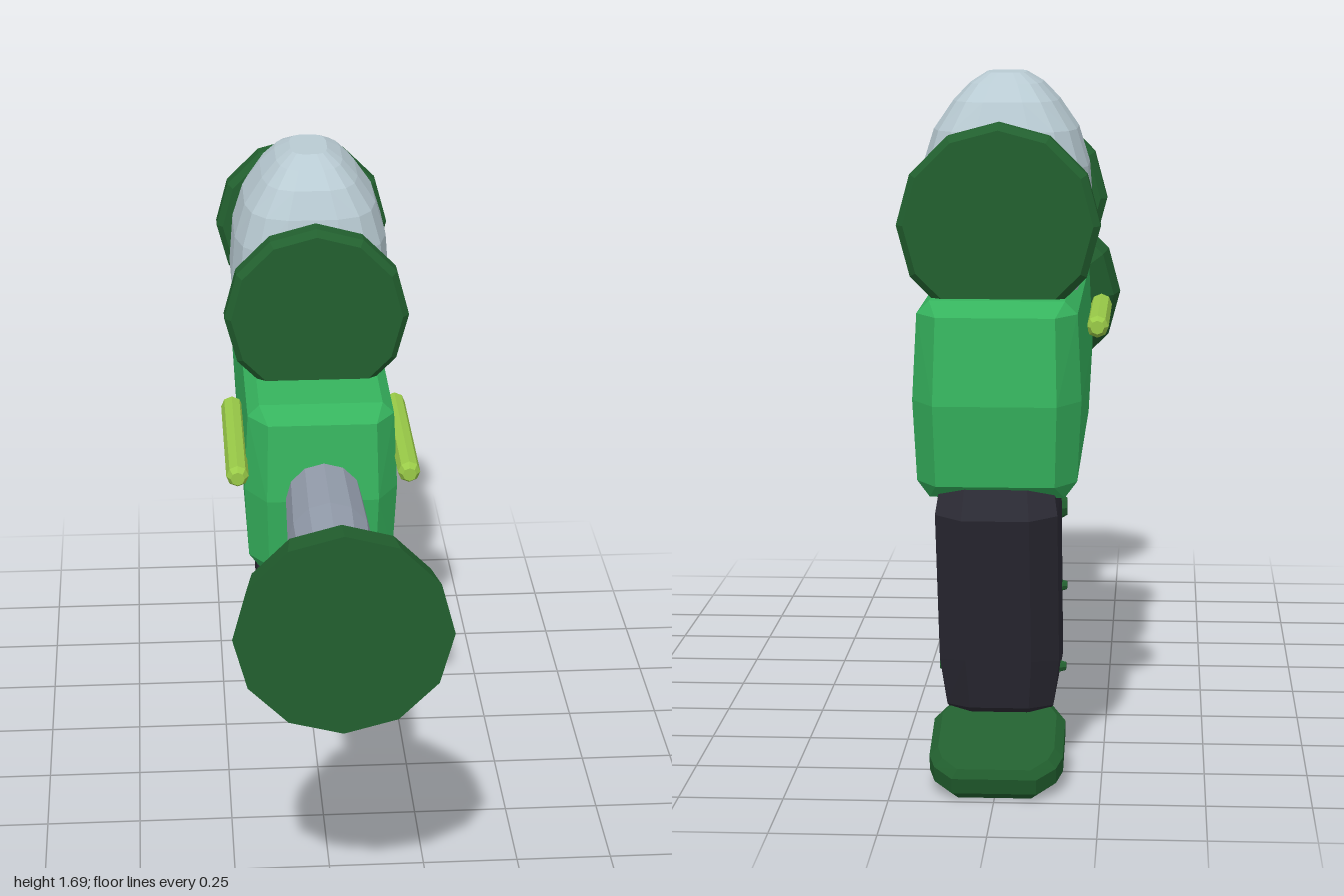
import * as THREE from 'three';
import { ConvexGeometry } from 'three/addons/geometries/ConvexGeometry.js';

const mat = (name, color) => {
  const m = new THREE.MeshStandardMaterial({ color, flatShading: true });
  m.name = name;
  return m;
};

export function createModel() {
  const green = mat('green', 0x36b45e);
  const darkGreen = mat('dark green', 0x22602f);
  const lime = mat('lime', 0x9acb48);
  const glass = mat('pale glass', 0xb9cbd3);
  const steel = mat('steel', 0x939cab);
  const black = mat('charcoal', 0x2c2b35);

  const model = new THREE.Group();
  model.name = 'toyBlaster';
  const add = (name, geometry, material, x = 0, y = 0, z = 0) => {
    const mesh = new THREE.Mesh(geometry, material);
    mesh.name = name;
    mesh.position.set(x, y, z);
    model.add(mesh);
    return mesh;
  };
  const V = (x, y, z) => new THREE.Vector3(x, y, z);
  const hull = (points) => new ConvexGeometry(points);
  // Mirrors [x, y, z] points across x = 0
  const mirrored = (pts) => hull(pts.flatMap(([x, y, z]) => [V(x, y, z), V(-x, y, z)]));
  // Turned shape along z from [radius, z] pairs
  const turned = (profile, sides) =>
    new THREE.LatheGeometry(profile.map(([r, z]) => new THREE.Vector2(r, z)), sides).rotateX(Math.PI / 2);

  // Body: bevelled block with bulging ends
  add('body', mirrored([
    [0.14, 0.75, 0.2], [0.145, 0.945, 0.222], [0.14, 1.15, 0.2],
    [0.16, 0.71, 0.13], [0.19, 0.75, 0.13], [0.2, 0.945, 0.135], [0.19, 1.15, 0.13], [0.16, 1.18, 0.13],
    [0.16, 0.71, -0.85], [0.19, 0.75, -0.85], [0.2, 0.945, -0.86], [0.19, 1.15, -0.85], [0.16, 1.18, -0.85],
    [0.14, 0.75, -0.93], [0.145, 0.945, -0.955], [0.14, 1.15, -0.93],
  ]), green);

  // Glass tank: stacked rounded-rectangle slices [y, half width, half depth]
  const slices = [
    [1.165, 0.18, 0.225], [1.2, 0.197, 0.236], [1.34, 0.216, 0.242], [1.47, 0.206, 0.238],
    [1.56, 0.178, 0.222], [1.63, 0.13, 0.19], [1.672, 0.09, 0.145], [1.697, 0.05, 0.085],
  ];
  const round = (c) => Math.sign(c) * Math.pow(Math.abs(c), 0.62);
  const tank = [];
  for (const [y, w, d] of slices) {
    for (let i = 0; i < 16; i++) {
      const a = (i + 0.5) * Math.PI / 8;
      tank.push(V(w * round(Math.cos(a)), y, -0.422 + d * round(Math.sin(a))));
    }
  }
  add('tank', hull(tank), glass);

  // Discs in front of and behind the tank
  const disc = [[0, -0.04], [0.225, -0.04], [0.242, -0.022], [0.242, 0.022], [0.225, 0.04], [0, 0.04]];
  add('frontDisc', turned(disc, 12), darkGreen, 0, 1.352, -0.066);
  add('rearDisc', turned(disc, 12), darkGreen, 0, 1.352, -0.778);

  // Barrel and flared muzzle
  add('barrel', turned([[0, 0.2], [0.05, 0.235], [0.098, 0.255], [0.106, 0.5], [0.098, 0.82], [0, 0.82]], 12), steel, 0, 0.97, 0);
  add('muzzle', turned([[0, 0.79], [0.18, 0.79], [0.243, 0.9], [0.261, 0.998], [0, 0.998]], 12), darkGreen, 0, 0.97, 0);

  // Side rods
  const rod = [[0, -0.24], [0.018, -0.24], [0.029, -0.222], [0.029, 0.222], [0.018, 0.24], [0, 0.24]];
  for (const s of [1, -1]) add(s > 0 ? 'leftRod' : 'rightRod', turned(rod, 8), lime, s * 0.221, 1.03, 0.015);

  // Grip: chamfered sections [frontY, frontZ, backY, backZ, half width]
  const grip = [];
  for (const [fy, fz, by, bz, w] of [
    [0.74, -0.595, 0.74, -0.91, 0.135], [0.7, -0.585, 0.67, -0.938, 0.145],
    [0.23, -0.45, 0.3, -0.815, 0.145], [0.155, -0.465, 0.17, -0.77, 0.13],
    [0.11, -0.58, 0.09, -0.66, 0.085],
  ]) {
    const at = (t, x) => [x, fy + (by - fy) * t, fz + (bz - fz) * t];
    grip.push(at(0, w * 0.55), at(0.12, w), at(0.86, w), at(1, w * 0.55));
  }
  add('grip', mirrored(grip), black);

  // Tilted foot plate at the heel of the grip
  const plan = [[0.11, 0.18], [0.16, 0.08], [0.16, -0.08], [0.145, -0.13], [0.1, -0.18]];
  const foot = plan.flatMap(([x, z]) => [
    [x * 0.87, 0.04, z * 0.93], [x, 0.02, z], [x, -0.02, z], [x * 0.87, -0.04, z * 0.93],
  ]);
  add('footPlate', mirrored(foot), darkGreen, 0, 0.092, -0.816).rotation.x = -0.29;

  // Trigger guard and trigger
  const side = (pts, w) => mirrored(pts.map(([z, y]) => [w, y, z]));
  add('guardPost', side([[-0.177, 0.73], [-0.177, 0.6], [-0.225, 0.572], [-0.225, 0.73]], 0.035), black);
  add('guardBar', side([[-0.177, 0.6], [-0.19, 0.615], [-0.225, 0.572], [-0.24, 0.615], [-0.54, 0.62], [-0.53, 0.565]], 0.035), black);
  add('trigger', side([[-0.385, 0.73], [-0.378, 0.64], [-0.405, 0.628], [-0.42, 0.635], [-0.45, 0.73]], 0.025), black);

  // Cross pin and rivets on the grip
  const pin = (name, r, half, y, z) =>
    add(name, turned([[0, -half], [r * 0.65, -half], [r, -half + 0.02], [r, half - 0.02], [r * 0.65, half], [0, half]], 8)
      .rotateY(Math.PI / 2), darkGreen, 0, y, z);
  pin('crossPin', 0.034, 0.155, 0.618, -0.505);
  pin('upperRivet', 0.016, 0.157, 0.428, -0.557);
  pin('lowerRivet', 0.016, 0.157, 0.235, -0.612);

  return model;
}
